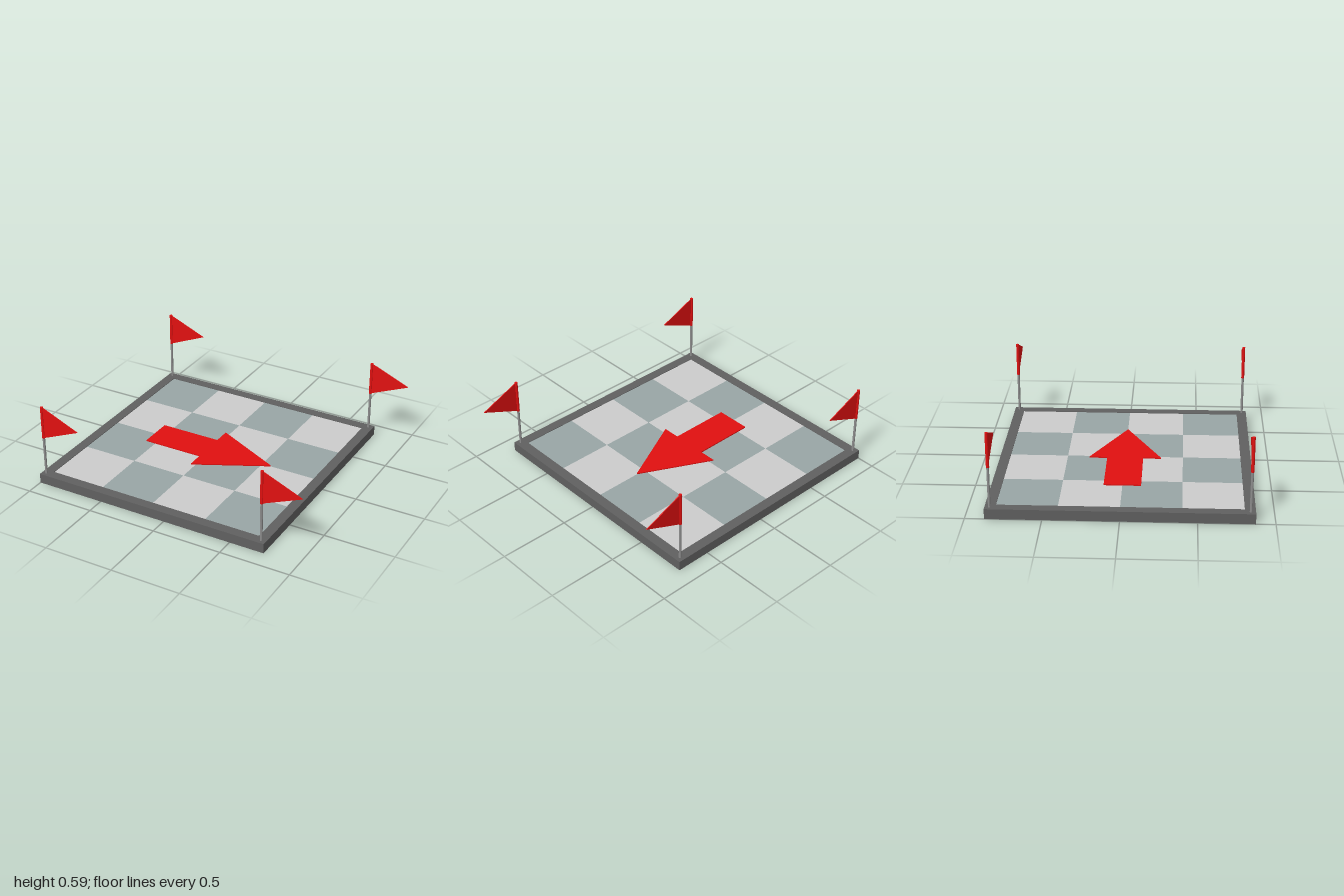
import * as THREE from 'three';

const paint = (color) => new THREE.MeshStandardMaterial({ color, flatShading: true });
const frameMat = paint(0x606060);
const lightMat = paint(0xcccccc);
const darkMat = paint(0x99a5a5);
const poleMat = paint(0x8c8c8c);
const redMat = paint(0xe01010);

const CX = -0.125, W = 1.75, D = 1.745;  // platform centre and size
const TOP = 0.07, RIM = 0.07;

function add(parent, name, geometry, material, x = 0, y = 0, z = 0) {
  const mesh = new THREE.Mesh(geometry, material);
  mesh.name = name;
  mesh.position.set(x, y, z);
  parent.add(mesh);
  return mesh;
}

const polygon = (points) => new THREE.Shape(points.map(([x, y]) => new THREE.Vector2(x, y)));
const rect = (w, d) => polygon([[-w / 2, -d / 2], [w / 2, -d / 2], [w / 2, d / 2], [-w / 2, d / 2]]);
const extrude = (shape, depth) => new THREE.ExtrudeGeometry(shape, { depth, bevelEnabled: false });
// Extrusion laid flat, growing upward from y = 0
const slab = (shape, height) => extrude(shape, height).rotateX(-Math.PI / 2);

function createFlag() {
  const flag = new THREE.Group();
  const bottom = 0.35, top = 0.59;
  add(flag, 'pole', new THREE.CylinderGeometry(0.009, 0.009, 0.54, 12), poleMat, 0, 0.315, 0);
  add(flag, 'flagSleeve', new THREE.CylinderGeometry(0.011, 0.011, top - bottom, 12), redMat, 0, (top + bottom) / 2, 0);
  const pennant = polygon([[0, bottom], [0.285, (top + bottom) / 2], [0, top]]);
  add(flag, 'pennant', extrude(pennant, 0.006), redMat, 0, 0, -0.003);
  return flag;
}

export function createModel() {
  const model = new THREE.Group();
  model.name = 'startPlatform';

  // Border frame, open in the middle
  const innerW = W - 2 * RIM, innerD = D - 2 * RIM;
  const border = rect(W, D);
  border.holes.push(rect(innerW, innerD));
  add(model, 'frame', slab(border, TOP), frameMat, CX);

  // Checkered floor, four by four
  const floor = new THREE.Group();
  floor.name = 'checkeredFloor';
  const tw = innerW / 4, td = innerD / 4;
  const tile = new THREE.BoxGeometry(tw, 0.06, td);
  for (let i = 0; i < 4; i++) {
    for (let j = 0; j < 4; j++) {
      const dark = (i + j) % 2 === 0;
      add(floor, dark ? 'darkTile' : 'lightTile', tile, dark ? darkMat : lightMat,
        CX + (i - 1.5) * tw, 0.036, (j - 1.5) * td);
    }
  }
  model.add(floor);

  // Direction arrow on the floor
  const arrow = polygon([
    [-0.6, -0.125], [-0.155, -0.125], [-0.155, -0.25], [0.345, 0],
    [-0.155, 0.25], [-0.155, 0.125], [-0.6, 0.125],
  ]);
  add(model, 'arrow', slab(arrow, 0.009), redMat, 0, 0.065, 0);

  // Corner flags, all pointing the same way as the arrow
  for (const [side, x] of [['Right', -0.967], ['Left', 0.715]]) {
    for (const [end, z] of [['front', 0.84], ['back', -0.84]]) {
      const flag = createFlag();
      flag.name = `${end}${side}Flag`;
      flag.position.set(x, 0, z);
      model.add(flag);
    }
  }
  return model;
}
